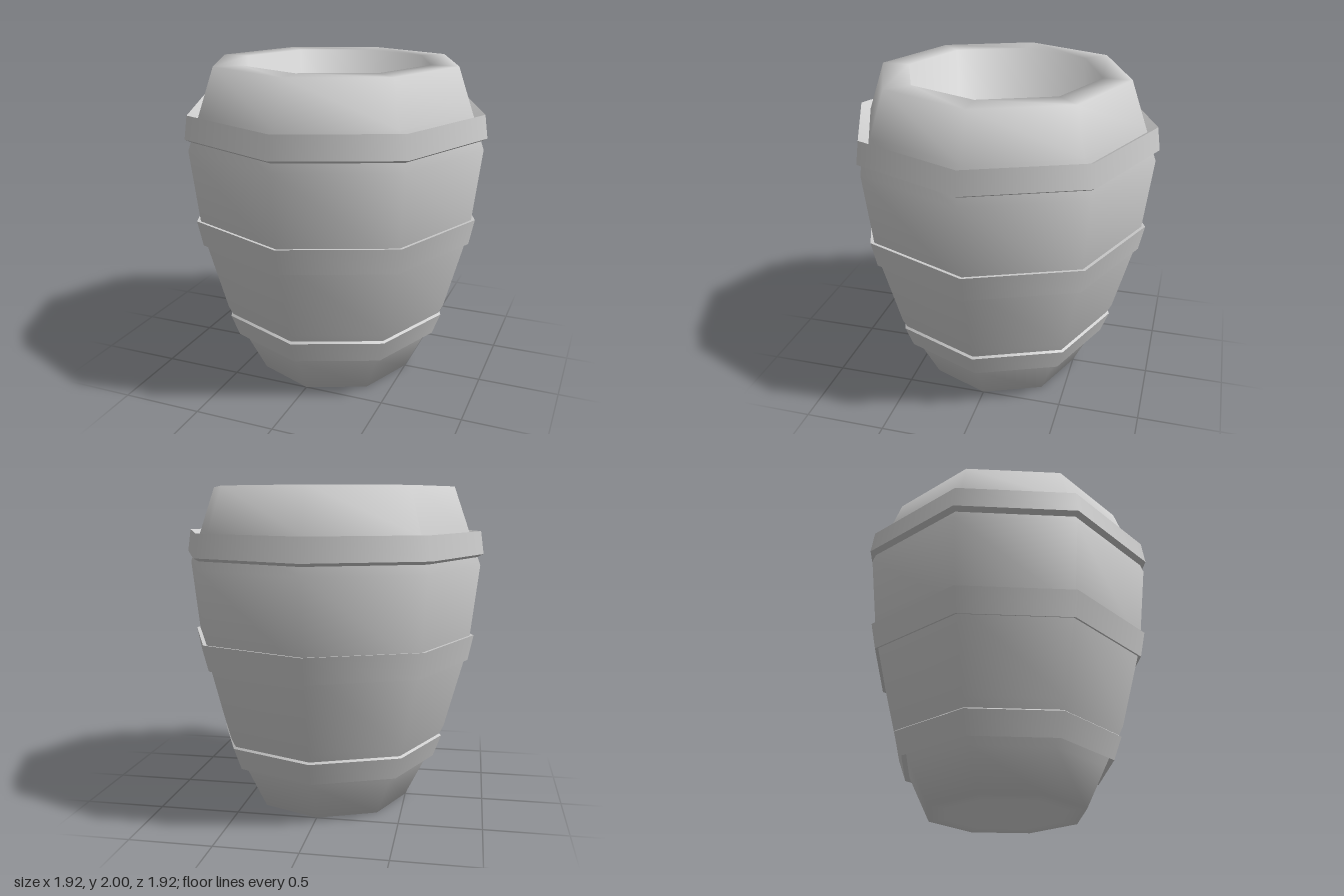
import * as THREE from 'three';
import { mergeGeometries } from 'three/addons/utils/BufferGeometryUtils.js';

const SIDES = 8;
const material = new THREE.MeshStandardMaterial({ color: 0xcccccc });

// Eight-sided turned form; profile is [radius, height] from bottom to top.
// Normals average the two neighbouring profile segments equally.
function turned(profile) {
  const points = profile.map(([r, y]) => new THREE.Vector2(r, y));
  const geometry = new THREE.LatheGeometry(points, SIDES);
  const segments = points.slice(1).map((p, i) =>
    new THREE.Vector2(p.y - points[i].y, points[i].x - p.x).normalize());
  const normals = points.map((p, i) => {
    const before = segments[Math.max(i - 1, 0)];
    const after = segments[Math.min(i, segments.length - 1)];
    return before.clone().add(after).normalize();
  });
  const attribute = geometry.attributes.normal;
  for (let i = 0; i < attribute.count; i++) {
    const n = normals[i % points.length];
    const angle = Math.floor(i / points.length) * Math.PI * 2 / SIDES;
    attribute.setXYZ(i, n.x * Math.sin(angle), n.y, n.x * Math.cos(angle));
  }
  return geometry;
}

// Same, but each profile segment keeps its own normals, so its edges stay sharp
function turnedSharp(profile) {
  return mergeGeometries(profile.slice(1).map((p, i) => turned([profile[i], p])));
}

export function createModel() {
  const group = new THREE.Group();
  const add = (name, geometry) => {
    const mesh = new THREE.Mesh(geometry, material);
    mesh.name = name;
    group.add(mesh);
  };

  // Staved body with a deep hollow in the top and in the foot, smooth all over
  add('barrelBody', turned([
    [0, 0.4], [0.4, 0.4], [0.4, 0],
    [0.5, 0], [0.62, 0.24], [0.74, 0.48], [0.88, 1.0], [0.94, 1.52], [0.865, 1.73], [0.77, 2],
    [0.6, 2], [0.6, 1.4], [0, 1.4],
  ]));

  // Hoops around the body, their rims square to the slope of the staves
  add('lowerHoop', turnedSharp([[0.62, 0.31], [0.675, 0.275], [0.727, 0.415], [0.7, 0.435]]));
  add('middleHoop', turnedSharp([[0.85, 0.93], [0.88, 0.92], [0.913, 1.08], [0.87, 1.075]]));
  add('upperHoop', turnedSharp([[0.91, 1.565], [0.958, 1.59], [0.938, 1.73], [0.86, 1.685]]));

  return group;
}
